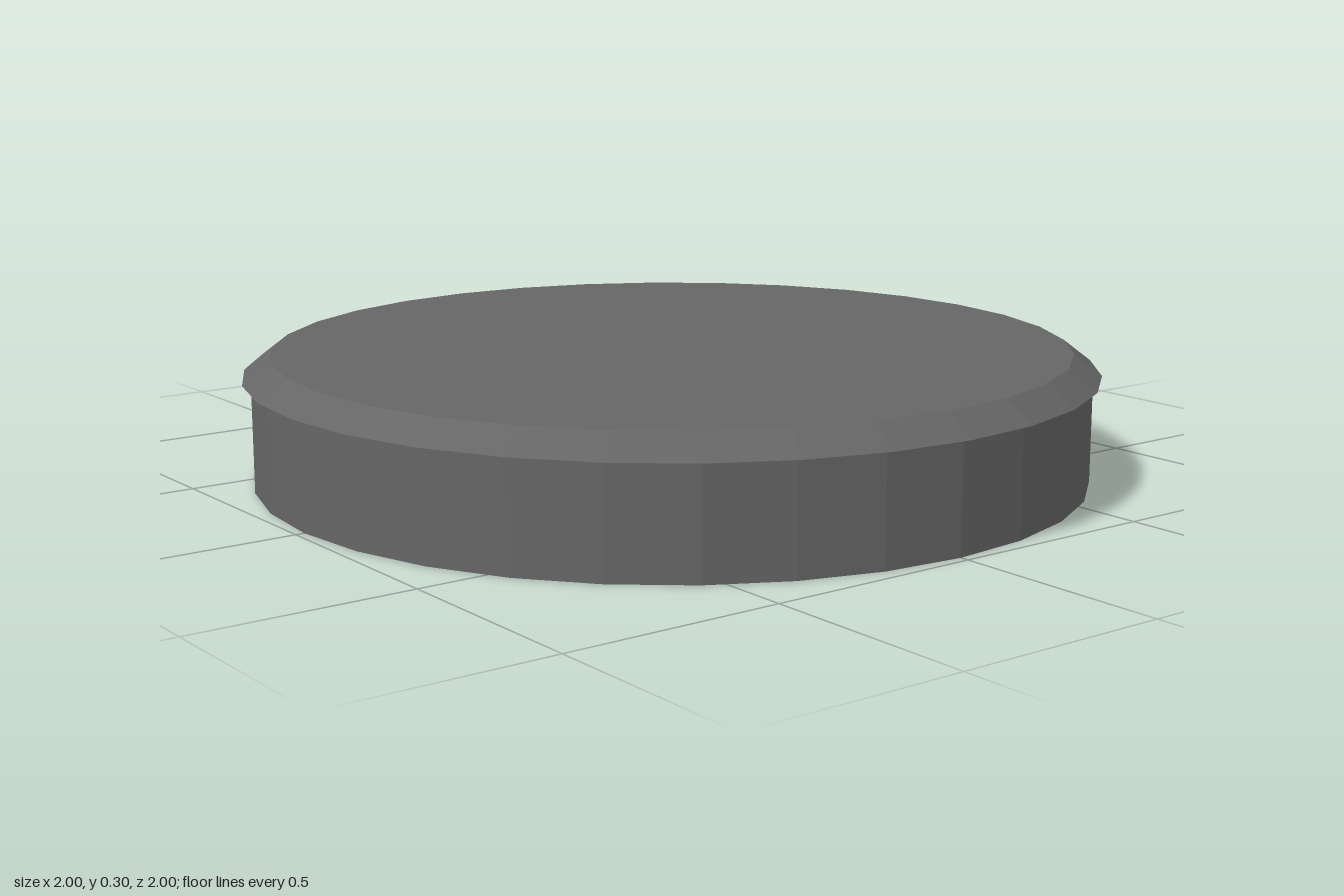
import * as THREE from 'three';

export function createModel() {
  const model = new THREE.Group();
  model.name = 'pocketCase';
  const material = new THREE.MeshStandardMaterial({ color: 0x666666, flatShading: true });

  const add = (name, geometry, parent = model) => {
    const mesh = new THREE.Mesh(geometry, material);
    mesh.name = name;
    parent.add(mesh);
    return mesh;
  };

  // Round case body
  const bodyHeight = 0.25;
  add('caseBody', new THREE.CylinderGeometry(0.98, 0.98, bodyHeight, 32)).position.y = bodyHeight / 2;

  // Bevelled lid, slightly wider than the body
  const lidHeight = 0.05;
  add('lid', new THREE.CylinderGeometry(0.935, 1, lidHeight, 32)).position.y = bodyHeight + lidHeight / 2;

  // Crown and ring, pointing along local +z toward the back right
  const fob = new THREE.Group();
  fob.name = 'crownAssembly';
  fob.position.y = bodyHeight / 2;
  fob.rotation.y = Math.PI * 1.25;
  model.add(fob);

  const crown = add('crown', new THREE.CylinderGeometry(0.07, 0.07, 0.18, 16), fob);
  crown.rotation.x = Math.PI / 2;
  crown.position.z = 1.015;

  // Thin ring lying flat through the crown
  const ring = add('ring', new THREE.TorusGeometry(0.113, 0.01, 8, 32), fob);
  ring.rotation.x = Math.PI / 2;
  ring.position.z = 1.163;

  return model;
}
